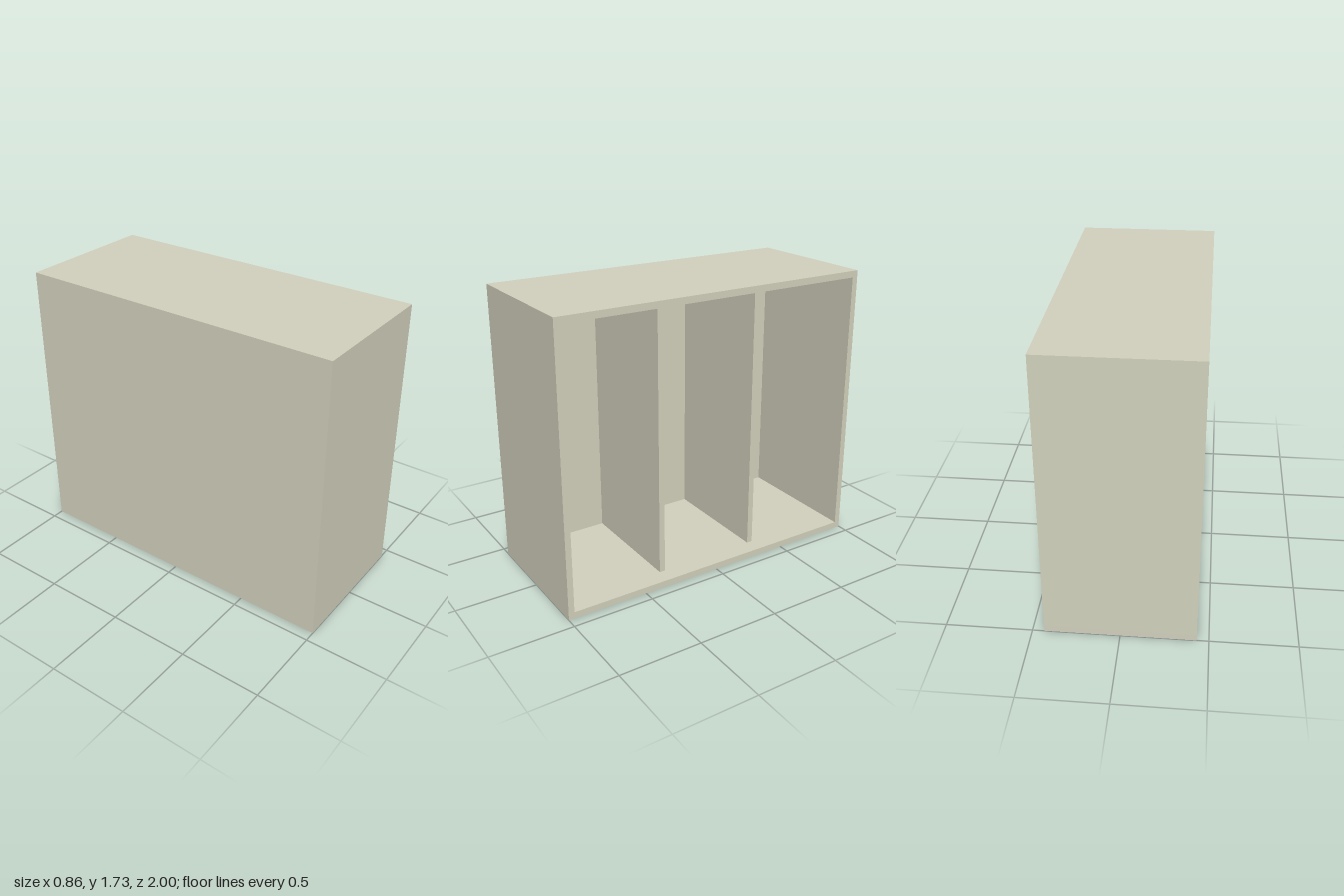
import * as THREE from 'three';

// Open-sided cabinet: the shelf opening faces +x, with two upright dividers set back from the rim.
export function createModel() {
  const group = new THREE.Group();
  group.name = 'cabinet';
  const material = new THREE.MeshStandardMaterial({ color: 0xd3d2be });

  const width = 0.864, height = 1.73, length = 2;
  const board = 0.036, slab = 0.04, back = 0.036, recess = 0.1;
  const innerHeight = height - 2 * slab;

  function panel(name, sx, sy, sz, x, y, z) {
    const mesh = new THREE.Mesh(new THREE.BoxGeometry(sx, sy, sz), material);
    mesh.name = name;
    mesh.position.set(x, y, z);
    group.add(mesh);
  }

  // Top and bottom boards
  panel('bottomPanel', width, slab, length, 0, slab / 2, 0);
  panel('topPanel', width, slab, length, 0, height - slab / 2, 0);

  // End boards and dividers, mirrored front to back
  const dividerDepth = width - back - recess;
  for (const [side, label] of [[1, 'front'], [-1, 'rear']]) {
    panel(label + 'EndPanel', width, innerHeight, board, 0, height / 2, side * (length - board) / 2);
    panel(label + 'Divider', dividerDepth, innerHeight, board,
      -width / 2 + back + dividerDepth / 2, height / 2, side * 0.327);
  }

  // Closed panel behind the compartments
  panel('backPanel', back, innerHeight, length - 2 * board, (back - width) / 2, height / 2, 0);

  return group;
}
